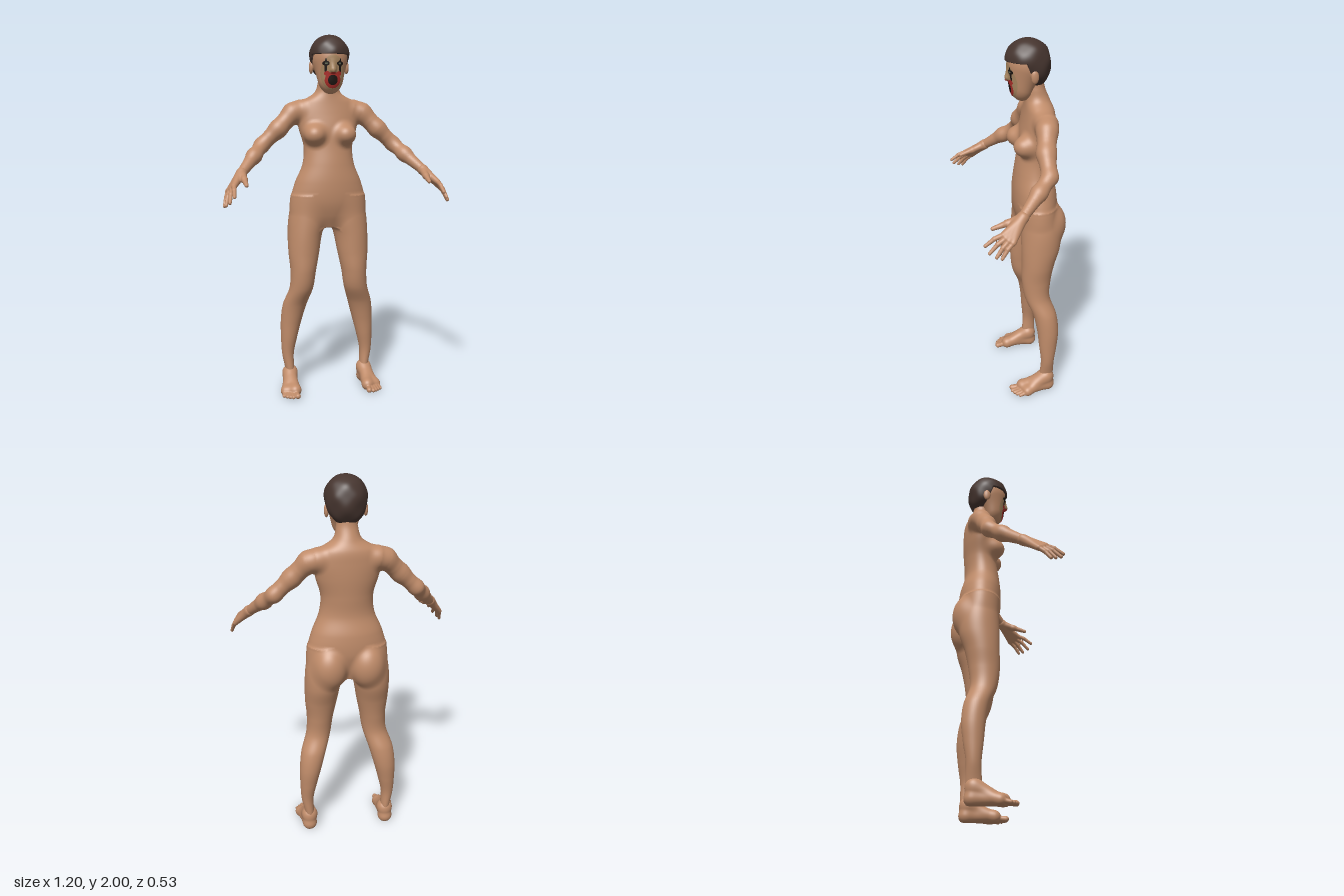
import * as THREE from 'three';

const mat = (name, color, side = THREE.FrontSide) => {
  const m = new THREE.MeshStandardMaterial({ color, side });
  m.name = name;
  return m;
};

// ---- distance-field helpers (all forms mirror through |x|) ----
const blend = (a, b, k) => {
  const h = Math.max(k - Math.abs(a - b), 0) / k;
  return Math.min(a, b) - h * h * k / 4;
};
const ellipsoid = (cx, cy, cz, rx, ry, rz) => (x, y, z) => {
  const a = (x - cx) / rx, b = (y - cy) / ry, c = (z - cz) / rz;
  const k = Math.hypot(a, b, c), g = Math.hypot(a / rx, b / ry, c / rz);
  return g < 1e-6 ? -Math.min(rx, ry, rz) : k * (k - 1) / g;
};
// tapered limb between two [x, y, z, radius] points
const limb = (a, b) => {
  const d = [b[0] - a[0], b[1] - a[1], b[2] - a[2]], l2 = d[0] ** 2 + d[1] ** 2 + d[2] ** 2;
  return (x, y, z) => {
    const px = x - a[0], py = y - a[1], pz = z - a[2];
    const t = Math.min(1, Math.max(0, (px * d[0] + py * d[1] + pz * d[2]) / l2));
    return Math.hypot(px - t * d[0], py - t * d[1], pz - t * d[2]) - a[3] - t * (b[3] - a[3]);
  };
};
const chain = pts => pts.slice(1).map((p, i) => limb(pts[i], p));
// upright form from rows of [y, centre x, half width, front z, back z], smoothly interpolated
const column = rows => {
  const N = 300, y0 = rows[0][0], y1 = rows.at(-1)[0], table = [];
  const slope = (i, c) => {
    const a = rows[Math.max(i - 1, 0)], b = rows[Math.min(i + 1, rows.length - 1)];
    return (b[c] - a[c]) / (b[0] - a[0]);
  };
  for (let n = 0; n <= N; n++) {
    const y = y0 + (y1 - y0) * n / N;
    let i = 0;
    while (i < rows.length - 2 && y > rows[i + 1][0]) i++;
    const h = rows[i + 1][0] - rows[i][0], t = (y - rows[i][0]) / h, t2 = t * t, t3 = t2 * t;
    table.push([1, 2, 3, 4].map(c => (2 * t3 - 3 * t2 + 1) * rows[i][c] + (t3 - 2 * t2 + t) * h * slope(i, c)
      + (3 * t2 - 2 * t3) * rows[i + 1][c] + (t3 - t2) * h * slope(i + 1, c)));
  }
  return (x, y, z) => {
    const u = Math.min(N - 1e-6, Math.max(0, (y - y0) / (y1 - y0) * N)), i = Math.floor(u), f = u - i;
    const A = table[i], B = table[i + 1], v = c => A[c] + (B[c] - A[c]) * f;
    const rx = v(1), zf = v(2), zb = v(3), rz = (zf - zb) / 2;
    const a = (x - v(0)) / rx, b = (z - (zf + zb) / 2) / rz;
    const k = Math.hypot(a, b), g = Math.hypot(a / rx, b / rz);
    return Math.max(g < 1e-6 ? -Math.min(rx, rz) : k * (k - 1) / g, y - y1, y0 - y);
  };
};
// parts: [form, blend radius]
const union = parts => (x, y, z) => {
  const ax = Math.abs(x);
  let d = parts[0][0](ax, y, z);
  for (let i = 1; i < parts.length; i++) d = blend(d, parts[i][0](ax, y, z), parts[i][1]);
  return d;
};
const gradient = (f, x, y, z, e = 0.002) => [f(x + e, y, z) - f(x - e, y, z),
  f(x, y + e, z) - f(x, y - e, z), f(x, y, z + e) - f(x, y, z - e)].map(v => v / (2 * e));

// ---- smooth skin over a field, one vertex per crossed cell ----
function skinOver(f, lo, hi, s) {
  const n = lo.map((v, a) => Math.ceil((hi[a] - v) / s) + 1), stride = [1, n[0], n[0] * n[1]];
  const val = new Float32Array(n[0] * n[1] * n[2]), cell = new Int32Array(val.length).fill(-1);
  const pos = [], nor = [], idx = [];
  const each = (m, fn) => {
    for (let k = 0; k < n[2] - m; k++) for (let j = 0; j < n[1] - m; j++) for (let i = 0; i < n[0] - m; i++)
      fn([i, j, k], i + j * stride[1] + k * stride[2]);
  };
  each(0, (g, id) => { val[id] = f(lo[0] + g[0] * s, lo[1] + g[1] * s, lo[2] + g[2] * s); });
  each(1, (g, id) => {
    const sum = [0, 0, 0];
    let count = 0;
    for (let a = 0; a < 3; a++) for (let q = 0; q < 4; q++) {
      const b = (a + 1) % 3, c = (a + 2) % 3, u = q & 1, w = q >> 1;
      const p = id + u * stride[b] + w * stride[c], v0 = val[p], v1 = val[p + stride[a]];
      if ((v0 < 0) === (v1 < 0)) continue;
      sum[a] += v0 / (v0 - v1); sum[b] += u; sum[c] += w; count++;
    }
    if (!count) return;
    const p = sum.map((v, a) => lo[a] + (g[a] + v / count) * s);
    const d = f(...p), gr = gradient(f, ...p), L = Math.hypot(...gr) || 1;
    const move = Math.max(-s / 2, Math.min(s / 2, d / L));
    cell[id] = pos.length / 3;
    pos.push(...p.map((v, a) => v - gr[a] / L * move));
    nor.push(...gr.map(v => v / L));
  });
  each(1, (g, id) => {
    for (let a = 0; a < 3; a++) {
      const b = (a + 1) % 3, c = (a + 2) % 3, inside = val[id] < 0;
      if (!g[b] || !g[c] || inside === (val[id + stride[a]] < 0)) continue;
      const q = [id, id - stride[b], id - stride[b] - stride[c], id - stride[c]].map(v => cell[v]);
      if (!inside) q.reverse();
      idx.push(q[0], q[1], q[2], q[0], q[2], q[3]);
    }
  });
  return buffer(pos, nor, idx);
}
function buffer(pos, nor, idx) {
  const geo = new THREE.BufferGeometry();
  geo.setAttribute('position', new THREE.Float32BufferAttribute(pos, 3));
  geo.setAttribute('normal', new THREE.Float32BufferAttribute(nor, 3));
  geo.setIndex(idx);
  return geo;
}
// thin painted ellipse or ring laid on the front of a field
function paint(f, cx, cy, rx, ry, lift, hole = 0) {
  const R = 8, S = 32, pos = [], nor = [], idx = [];
  for (let r = 0; r <= R; r++) for (let k = 0; k <= S; k++) {
    const q = hole + (1 - hole) * r / R, t = k / S * Math.PI * 2;
    const x = cx + rx * q * Math.cos(t), y = cy + ry * q * Math.sin(t);
    let z = 0.1;
    while (z > -0.1 && f(x, y, z) > 0) z -= 0.0005;
    const g = gradient(f, x, y, z), L = Math.hypot(...g) || 1;
    pos.push(x + g[0] / L * lift, y + g[1] / L * lift, z + g[2] / L * lift);
    nor.push(...g.map(v => v / L));
    if (r < R && k < S) {
      const a = r * (S + 1) + k, b = a + S + 1;
      idx.push(a, b, b + 1, a, b + 1, a + 1);
    }
  }
  return buffer(pos, nor, idx);
}

export function createModel() {
  const model = new THREE.Group();
  model.name = 'figure';
  const skin = mat('skin', 0xc08c6a), hairMat = mat('hair', 0x46352f);
  const facePaint = mat('face paint', 0xac8962, THREE.DoubleSide), black = mat('black paint', 0x1f1713, THREE.DoubleSide);
  const red = mat('red paint', 0xb02f2a, THREE.DoubleSide), iris = mat('iris', 0x66705a, THREE.DoubleSide);
  const add = (name, geo, m) => {
    const mesh = new THREE.Mesh(geo, m);
    mesh.name = name;
    model.add(mesh);
  };

  // torso, neck, legs and arms as one blended body
  const torso = column([
    [0.95, 0, 0.10, -0.05, -0.19], [1.02, 0, 0.19, -0.02, -0.21], [1.1, 0, 0.21, 0, -0.228],
    [1.2, 0, 0.187, 0.004, -0.224], [1.3, 0, 0.146, -0.005, -0.2], [1.4, 0, 0.137, -0.02, -0.203],
    [1.5, 0, 0.163, -0.03, -0.21], [1.58, 0, 0.175, -0.045, -0.21], [1.64, 0, 0.15, -0.055, -0.205],
    [1.69, 0, 0.075, -0.06, -0.185], [1.75, 0, 0.055, -0.06, -0.16], [1.8, 0, 0.05, -0.06, -0.152]]);
  const leg = column([
    [0.03, 0.221, 0.025, -0.1, -0.18], [0.1, 0.221, 0.026, -0.105, -0.184], [0.2, 0.231, 0.034, -0.11, -0.185],
    [0.3, 0.223, 0.047, -0.1, -0.2], [0.4, 0.21, 0.06, -0.09, -0.21], [0.5, 0.19, 0.068, -0.07, -0.2],
    [0.6, 0.158, 0.067, -0.03, -0.168], [0.7, 0.147, 0.072, -0.015, -0.175], [0.8, 0.141, 0.086, -0.015, -0.195],
    [0.9, 0.133, 0.096, -0.015, -0.225], [1.0, 0.117, 0.106, -0.017, -0.23], [1.12, 0.11, 0.09, -0.025, -0.2]]);
  const arm = chain([[0.15, 1.595, -0.135, 0.06], [0.195, 1.582, -0.125, 0.052], [0.28, 1.495, -0.1, 0.046],
    [0.37, 1.41, -0.095, 0.038], [0.42, 1.355, -0.03, 0.038], [0.495, 1.275, 0.065, 0.025]]);
  const body = union([[torso, 0], [leg, 0.03],
    [ellipsoid(0.1, 1.02, -0.18, 0.09, 0.12, 0.084), 0.02],
    [ellipsoid(0.085, 1.465, -0.045, 0.058, 0.055, 0.063), 0.035],
    ...arm.map(a => [a, 0.025])]);
  add('body', skinOver(body, [-0.555, 0.01, -0.3], [0.555, 1.83, 0.11], 0.01), skin);

  // hands: a fan of bones to the knuckles, then bent fingers
  const wrist = [0.495, 1.275, 0.065, 0.024];
  const fingers = [[[0.543, 1.218, 0.17], [0.548, 1.172, 0.258]], [[0.554, 1.206, 0.16], [0.57, 1.142, 0.242]],
    [[0.564, 1.195, 0.147], [0.587, 1.126, 0.212]], [[0.572, 1.186, 0.13], [0.594, 1.12, 0.187]]];
  const handParts = chain([wrist, [0.488, 1.247, 0.14, 0.016], [0.483, 1.224, 0.21, 0.01]]).map(p => [p, 0.012]);
  for (const [k, t] of fingers) {
    const mid = k.map((v, i) => (v + t[i]) / 2 + (i === 1 ? 0.008 : 0));
    handParts.push([limb(wrist, [...k, 0.015]), 0.01],
      ...chain([[...k, 0.0125], [...mid, 0.011], [...t, 0.0085]]).map(p => [p, 0.004]));
  }
  const hand = union(handParts);

  // feet: heel, arch, ball and five toes, flattened at the sole
  const ankle = [0.221, 0.085, -0.143, 0.033], balls = [[0.211, 0.029, -0.005, 0.026], [0.262, 0.022, -0.025, 0.022]];
  const toes = [[0.206, 0.018, 0.056, 0.015], [0.23, 0.014, 0.058, 0.0105], [0.247, 0.013, 0.05, 0.01],
    [0.263, 0.012, 0.038, 0.0095], [0.279, 0.011, 0.022, 0.0095]];
  const footForm = union([[limb(ankle, [0.222, 0.033, -0.152, 0.035]), 0],
    ...balls.map(b => [limb(ankle, b), 0.03]), ...balls.map(b => [limb([0.222, 0.03, -0.15, 0.032], b), 0.02]),
    [limb(...balls), 0.02],
    ...toes.map((t, i) => [limb([0.213 + i * 0.014, 0.022, -0.005 - i * 0.006, 0.013], t), 0.006])]);
  const foot = (x, y, z) => Math.max(footForm(x, y, z), 0.001 - y);

  for (const [side, s] of [['left', 1], ['right', -1]]) {
    const box = (x0, x1) => s > 0 ? [x0, x1] : [-x1, -x0];
    const [h0, h1] = box(0.44, 0.63), [f0, f1] = box(0.15, 0.32);
    add(side + 'Hand', skinOver(hand, [h0, 1.09, 0.02], [h1, 1.33, 0.29], 0.005), skin);
    add(side + 'Foot', skinOver(foot, [f0, -0.012, -0.21], [f1, 0.14, 0.09], 0.005), skin);
  }

  // head with jaw, nose and ears
  const head = union([[ellipsoid(0, 1.87, -0.07, 0.095, 0.115, 0.104), 0],
    [ellipsoid(0, 1.775, -0.042, 0.07, 0.092, 0.063), 0.035],
    [limb([0, 1.85, 0.022, 0.009], [0, 1.807, 0.033, 0.013]), 0.015],
    [ellipsoid(0.098, 1.825, -0.085, 0.012, 0.034, 0.02), 0.008]]);
  add('head', skinOver(head, [-0.13, 1.66, -0.2], [0.13, 2.0, 0.08], 0.006), skin);

  // short lumpy hair, cut away around the face
  const hairForm = union([[ellipsoid(0, 1.892, -0.07, 0.107, 0.105, 0.114), 0],
    [ellipsoid(0, 1.845, -0.108, 0.092, 0.09, 0.072), 0.03]]);
  const hair = (x, y, z) => Math.max(hairForm(x, y, z) + 0.003 * Math.sin(48 * x + 1) * Math.sin(52 * y) * Math.sin(45 * z),
    Math.min(z + 0.07 - (y - 1.83) * 0.4, 1.892 - y) * -1 * -1 > 0 ? Math.min(z + 0.07 - (y - 1.83) * 0.4, 1.892 - y) : -1);
  add('hair', skinOver(hair, [-0.13, 1.73, -0.21], [0.13, 2.02, 0.07], 0.006), hairMat);

  // painted face: eye patches with streaks, and a wide open mouth
  add('facePaint', paint(head, 0, 1.795, 0.062, 0.092, 0.002), facePaint);
  for (const s of [1, -1]) {
    add('eyePatch', paint(head, s * 0.036, 1.842, 0.018, 0.012, 0.004), black);
    add('eyeStreak', paint(head, s * 0.037, 1.828, 0.006, 0.04, 0.0045), black);
    add('iris', paint(head, s * 0.034, 1.842, 0.007, 0.005, 0.006), iris);
    add('cheekPaint', paint(head, s * 0.03, 1.79, 0.014, 0.012, 0.005), red);
  }
  add('mouth', paint(head, 0, 1.757, 0.027, 0.032, 0.004), black);
  add('lips', paint(head, 0, 1.757, 0.04, 0.042, 0.005, 0.62), red);
  return model;
}
